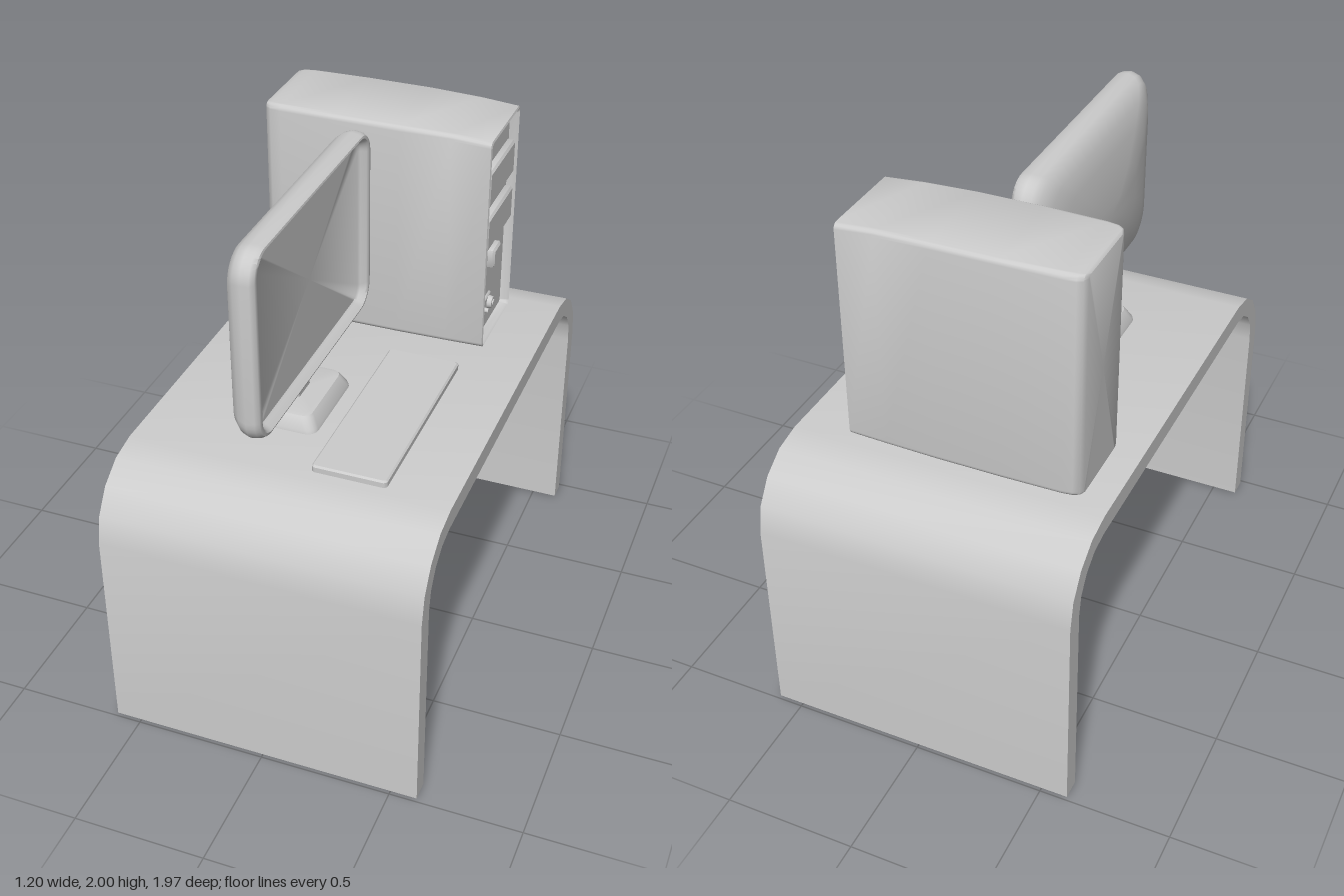
import * as THREE from 'three';
import { toCreasedNormals } from 'three/addons/utils/BufferGeometryUtils.js';

const grey = new THREE.MeshStandardMaterial({ color: 0xcccccc });

function part(name, geometry, x = 0, y = 0, z = 0) {
  const mesh = new THREE.Mesh(geometry, grey);
  mesh.name = name;
  mesh.position.set(x, y, z);
  return mesh;
}

// Skin through rounded rectangles stacked along x, listed front (+x) to back.
// Each ring is [x, half width in z, half height in y, corner radius, y offset].
function loft(rings, crease = 0.6, steps = 5) {
  const pos = [], index = [], n = 4 * (steps + 1);
  for (const [x, a, b, r, cy = 0] of rings) {
    for (let c = 0; c < 4; c++) {
      const su = c === 0 || c === 3 ? 1 : -1, sv = c < 2 ? 1 : -1;
      for (let s = 0; s <= steps; s++) {
        const t = (c + s / steps) * Math.PI / 2;
        pos.push(x, cy + sv * (b - r) + r * Math.sin(t), -(su * (a - r) + r * Math.cos(t)));
      }
    }
  }
  for (let i = 0; i < rings.length - 1; i++) {
    for (let j = 0; j < n; j++) {
      const f = i * n + j, g = i * n + (j + 1) % n;
      index.push(f, f + n, g + n, f, g + n, g);
    }
  }
  // flat end caps
  const last = rings.length - 1, front = rings.length * n, back = front + 1;
  pos.push(rings[0][0], rings[0][4] || 0, 0, rings[last][0], rings[last][4] || 0, 0);
  for (let j = 0; j < n; j++) {
    const k = (j + 1) % n;
    index.push(front, j, k, back, last * n + k, last * n + j);
  }
  const g = new THREE.BufferGeometry();
  g.setAttribute('position', new THREE.Float32BufferAttribute(pos, 3));
  g.setIndex(index);
  return toCreasedNormals(g, crease);
}

// Same skin, stacked upwards (rings run top to bottom)
const loftUp = (rings, crease) => loft(rings, crease).rotateZ(Math.PI / 2);

// Block with slightly softened front edges, front face at x = 0
function block(d, h, w, e = 0.008) {
  return loft([
    [0, w / 2 - e, h / 2 - e, 0.003],
    [-e, w / 2, h / 2, 0.005],
    [-d, w / 2, h / 2, 0.005],
  ], 0.4, 2);
}

// Bent-sheet desk: an arch profile extruded across x
function desk() {
  const s = new THREE.Shape();
  const arch = (w, top, r, dir) => {
    const pts = [[-w, 0]];
    for (const side of [-1, 1]) {
      for (let i = 0; i <= 4; i++) {
        const t = (side < 0 ? Math.PI : Math.PI / 2) - i * Math.PI / 8;
        pts.push([side * (w - r) + r * Math.cos(t), top - r + r * Math.sin(t)]);
      }
    }
    pts.push([w, 0]);
    return dir < 0 ? pts.reverse() : pts;
  };
  const outline = [...arch(0.985, 1.105, 0.28, 1), ...arch(0.91, 1.03, 0.2, -1)];
  s.setFromPoints(outline.map(([u, v]) => new THREE.Vector2(u, v)));
  const g = new THREE.ExtrudeGeometry(s, { depth: 1.2, bevelEnabled: false });
  g.translate(0, 0, -0.6).rotateY(Math.PI / 2);
  return part('desk', toCreasedNormals(g, 0.6));
}

function monitor() {
  const group = new THREE.Group();
  group.name = 'monitor';
  // recessed screen, rim and bulging back in one skin
  group.add(part('screenHousing', loft([
    [-0.068, 0.470, 0.325, 0.05],
    [-0.060, 0.478, 0.332, 0.055],
    [-0.040, 0.492, 0.342, 0.07],
    [-0.034, 0.502, 0.348, 0.08],
    [-0.036, 0.520, 0.355, 0.09],
    [-0.050, 0.533, 0.362, 0.1],
    [-0.080, 0.538, 0.365, 0.1],
    [-0.110, 0.530, 0.358, 0.1],
    [-0.135, 0.510, 0.340, 0.1],
    [-0.160, 0.460, 0.300, 0.11],
    [-0.180, 0.380, 0.230, 0.11],
    [-0.195, 0.260, 0.130, 0.09],
    [-0.203, 0.120, 0.050, 0.04],
  ], 0.8, 8), 0, 1.635, 0.297));
  group.add(part('neck', new THREE.BoxGeometry(0.05, 0.24, 0.1), -0.12, 1.27, 0.295));
  group.add(part('standBase', loftUp([
    [0.060, 0.145, 0.090, 0.03],
    [0.057, 0.160, 0.103, 0.035],
    [0.048, 0.168, 0.110, 0.04],
    [0.012, 0.185, 0.130, 0.04],
    [0, 0.187, 0.133, 0.04],
  ]), -0.118, 1.105, 0.287));
  return group;
}

function keyboard() {
  return part('keyboard', loftUp([
    [0.026, 0.396, 0.133, 0.012],
    [0.020, 0.403, 0.139, 0.016],
    [0, 0.403, 0.139, 0.016],
  ], 0.4), 0.22, 1.105, 0.267);
}

function tower() {
  const group = new THREE.Group();
  group.name = 'computerTower';
  // ring standing on the desk with its top at the given height
  const ring = (x, a, h, r, lift = 0) => [x, a, (h - lift) / 2, r, (h + lift) / 2];
  group.add(part('case', loft([
    ring(0.365, 0.166, 0.842, 0.012, 0.014),
    ring(0.392, 0.170, 0.846, 0.014, 0.010),
    ring(0.400, 0.176, 0.854, 0.018, 0.004),
    ring(0.397, 0.184, 0.862, 0.022),
    ring(0.250, 0.189, 0.872, 0.022),
    ring(0.050, 0.193, 0.878, 0.022),
    ring(-0.200, 0.192, 0.880, 0.022),
    ring(-0.420, 0.187, 0.880, 0.022),
    ring(-0.462, 0.181, 0.879, 0.022),
    ring(-0.482, 0.168, 0.876, 0.02),
    ring(-0.490, 0.145, 0.868, 0.015),
  ], 0.7), 0, 1.105, -0.478));
  // drive bays
  for (const y of [1.767, 1.575]) {
    group.add(part('driveBay', block(0.04, 0.132, 0.315), 0.395, y, -0.478));
  }
  group.add(part('powerButton', block(0.035, 0.075, 0.09), 0.393, 1.422, -0.476));
  // port panel with two round sockets
  group.add(part('portPanel', block(0.02, 0.065, 0.155, 0.004), 0.375, 1.228, -0.396));
  for (const [z, r] of [[-0.44, 0.027], [-0.385, 0.011]]) {
    const socket = new THREE.CylinderGeometry(r * 0.85, r, 0.022, 16).rotateZ(-Math.PI / 2);
    group.add(part('socket', socket, 0.382, r > 0.02 ? 1.23 : 1.222, z));
  }
  group.add(part('socketPin', new THREE.CylinderGeometry(0.013, 0.013, 0.01, 12).rotateZ(-Math.PI / 2), 0.393, 1.23, -0.44));
  return group;
}

export function createModel() {
  const model = new THREE.Group();
  model.name = 'computerDesk';
  model.add(desk(), monitor(), keyboard(), tower());
  return model;
}
